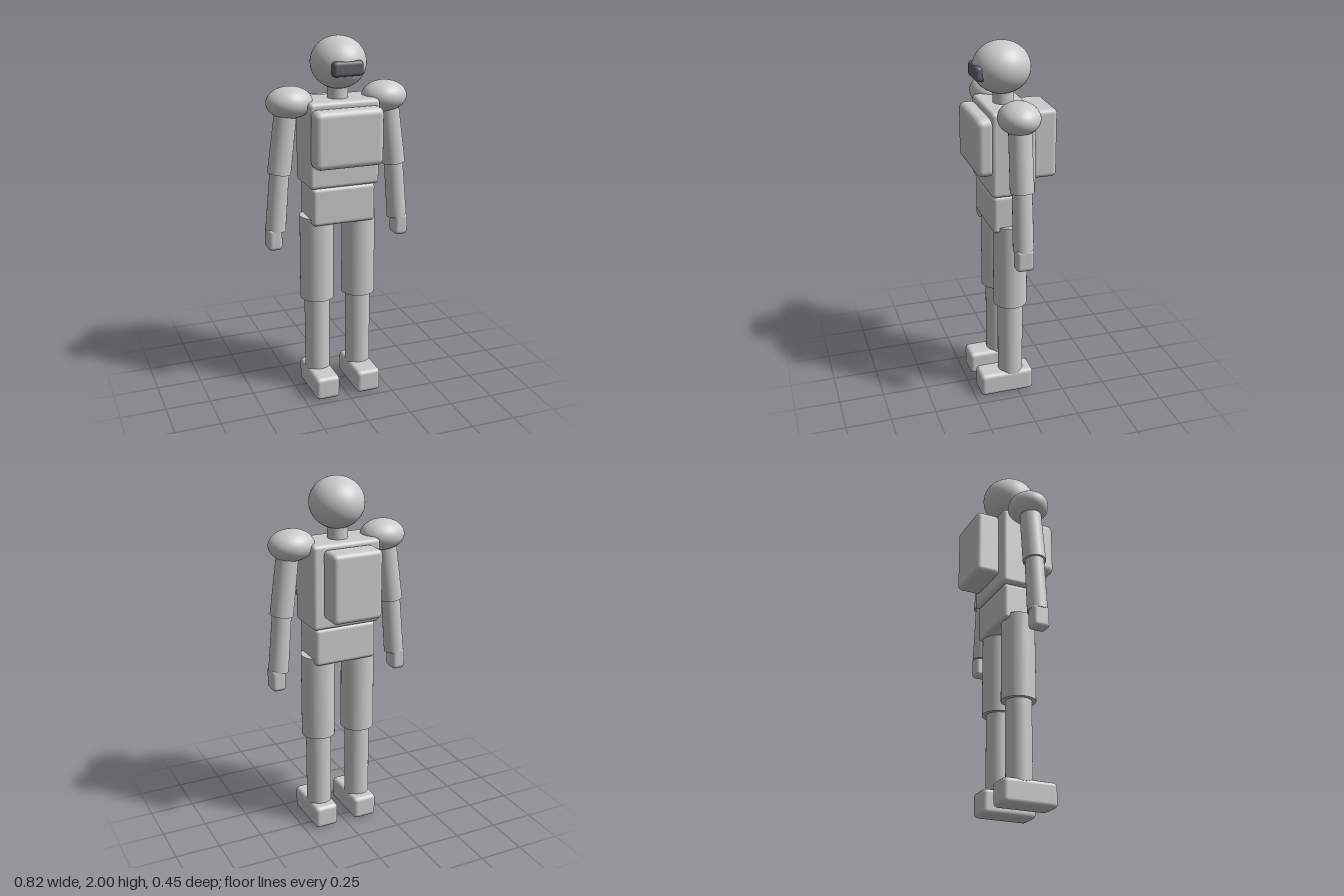
import * as THREE from 'three';
import { RoundedBoxGeometry } from 'three/addons/geometries/RoundedBoxGeometry.js';

const Z = 0.028; // depth of the body's centre line

export function createModel() {
  const group = new THREE.Group();
  const grey = new THREE.MeshStandardMaterial({ color: 0xcccccc });
  const dark = new THREE.MeshStandardMaterial({ color: 0x60646a });

  function add(name, geometry, x, y, z, material = grey) {
    const mesh = new THREE.Mesh(geometry, material);
    mesh.name = name;
    mesh.position.set(x, y, z);
    group.add(mesh);
    return mesh;
  }

  // Rounded box given by its centre x, width and its y and z extents
  function box(name, x, width, [y0, y1], [z0, z1], radius, material) {
    const geometry = new RoundedBoxGeometry(width, y1 - y0, z1 - z0, 3, radius);
    return add(name, geometry, x, (y0 + y1) / 2, (z0 + z1) / 2, material);
  }

  function ellipsoid(name, x, y, z, rx, ry, rz) {
    return add(name, new THREE.SphereGeometry(1, 48, 32).scale(rx, ry, rz), x, y, z);
  }

  // Straight limb segment between two points of the x-y plane
  function limb(name, [x0, y0], [x1, y1], rTop, rBottom) {
    const length = Math.hypot(x1 - x0, y1 - y0);
    const geometry = new THREE.CylinderGeometry(rTop, rBottom, length, 40);
    const mesh = add(name, geometry, (x0 + x1) / 2, (y0 + y1) / 2, Z);
    mesh.rotation.z = Math.atan2(x1 - x0, y0 - y1);
    return mesh;
  }

  // Head and neck
  ellipsoid('head', 0, 1.863, 0.037, 0.147, 0.137, 0.154);
  box('visor', 0, 0.167, [1.81, 1.89], [0.135, 0.197], 0.02, dark);
  limb('neck', [0, 1.78], [0, 1.66], 0.055, 0.055);

  // Trunk
  box('torso', 0, 0.392, [1.215, 1.677], [-0.093, 0.147], 0.022);
  box('chestPlate', 0, 0.386, [1.335, 1.645], [0.125, 0.225], 0.035);
  box('pelvis', 0, 0.356, [1.005, 1.217], [-0.08, 0.137], 0.022);
  box('backpack', 0, 0.284, [1.28, 1.655], [-0.227, -0.088], 0.026);

  // Arms and legs, mirrored
  for (const [side, s] of [['left', 1], ['right', -1]]) {
    ellipsoid(side + 'Shoulder', s * 0.266, 1.667, 0.026, 0.124, 0.084, 0.109);
    limb(side + 'UpperArm', [s * 0.281, 1.67], [s * 0.329, 1.294], 0.059, 0.063);
    limb(side + 'Forearm', [s * 0.327, 1.31], [s * 0.355, 0.98], 0.052, 0.055);
    box(side + 'Hand', s * 0.367, 0.078, [0.875, 1.0], [-0.02, 0.077], 0.022);

    limb(side + 'Thigh', [s * 0.122, 1.04], [s * 0.122, 0.56], 0.092, 0.093);
    limb(side + 'Shin', [s * 0.122, 0.58], [s * 0.122, 0.12], 0.07, 0.07);
    box(side + 'Foot', s * 0.122, 0.14, [0, 0.133], [-0.09, 0.216], 0.024);
  }

  return group;
}
